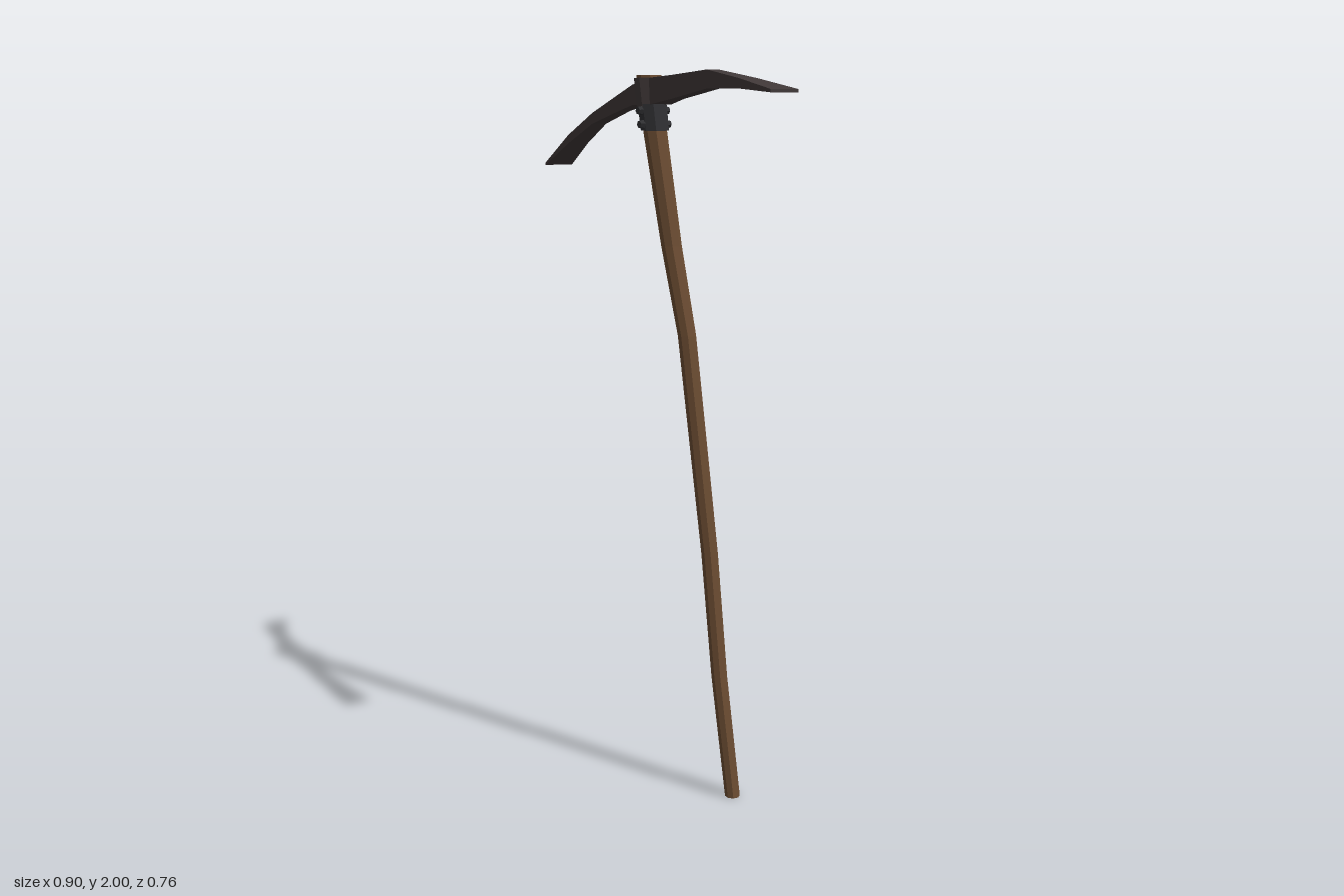
import * as THREE from 'three';

const wood = new THREE.MeshStandardMaterial({ name: 'wood', color: 0x6b4c32, flatShading: true });
const iron = new THREE.MeshStandardMaterial({ name: 'iron', color: 0x403838, flatShading: true });
const darkIron = new THREE.MeshStandardMaterial({ name: 'darkIron', color: 0x303033, flatShading: true });

// Skin a list of equal-length rings and close both ends
function loft(name, rings, material) {
  const pos = [];
  const tri = (...pts) => pts.forEach((p) => pos.push(p.x, p.y, p.z));
  const n = rings[0].length;
  for (let i = 0; i < rings.length - 1; i++) {
    for (let j = 0; j < n; j++) {
      const k = (j + 1) % n;
      const a = rings[i][j], b = rings[i][k], c = rings[i + 1][k], d = rings[i + 1][j];
      tri(a, b, c);
      tri(a, c, d);
    }
  }
  const first = rings[0], last = rings[rings.length - 1];
  for (let j = 1; j < n - 1; j++) {
    tri(first[0], first[j + 1], first[j]);
    tri(last[0], last[j], last[j + 1]);
  }
  const geometry = new THREE.BufferGeometry();
  geometry.setAttribute('position', new THREE.Float32BufferAttribute(pos, 3));
  geometry.computeVertexNormals();
  const mesh = new THREE.Mesh(geometry, material);
  mesh.name = name;
  return mesh;
}

// Horizontal octagon ring
function octagon([x, y, z, r]) {
  return Array.from({ length: 8 }, (_, j) => {
    const a = ((j + 0.5) / 8) * Math.PI * 2;
    return new THREE.Vector3(x + r * Math.cos(a), y, z - r * Math.sin(a));
  });
}

export function createModel() {
  const group = new THREE.Group();
  group.name = 'pickaxe';

  // Crooked handle: x, y, z, radius
  const handle = [
    [0.245, 0.004, 0.09, 0.021],
    [0.2, 0.35, 0.076, 0.022],
    [0.165, 0.7, 0.06, 0.023],
    [0.09, 1.3, 0.034, 0.025],
    [0.04, 1.54, 0.015, 0.028],
    [-0.01, 1.84, 0.001, 0.032],
    [-0.032, 1.99, -0.012, 0.034],
  ];
  group.add(loft('handle', handle.map(octagon), wood));

  // Curved double-ended head: distance along, top, bottom, half width
  const along = new THREE.Vector3(0.771, 0, 0.637);
  const across = new THREE.Vector3(0.637, 0, -0.771);
  const head = [
    [-0.545, 1.745, 1.738, 0.045],
    [-0.43, 1.827, 1.803, 0.033],
    [-0.31, 1.89, 1.86, 0.023],
    [-0.17, 1.943, 1.897, 0.018],
    [-0.09, 1.966, 1.912, 0.027],
    [0.01, 1.983, 1.914, 0.034],
    [0.09, 1.989, 1.928, 0.02],
    [0.25, 2.0, 1.953, 0.02],
    [0.4, 1.977, 1.952, 0.029],
    [0.545, 1.95, 1.942, 0.042],
  ];
  const headRings = head.map(([s, top, bottom, w]) =>
    [[-w, bottom], [w, bottom], [w, top], [-w, top]].map(([u, y]) =>
      along.clone().multiplyScalar(s).addScaledVector(across, u).setY(y)));
  group.add(loft('head', headRings, iron));

  // Eye of the head, around the top of the handle
  group.add(loft('headEye', [
    [-0.022, 1.908, -0.006, 0.04],
    [-0.031, 1.983, -0.011, 0.041],
  ].map(octagon), iron));

  // Collar under the head
  group.add(loft('collar', [
    [-0.011, 1.845, 0.001, 0.038],
    [-0.021, 1.915, -0.005, 0.039],
  ].map(octagon), darkIron));

  // Two rivets on each side of the collar
  for (const side of [-1, 1]) {
    for (const [x, y, z] of [[-0.013, 1.862, 0], [-0.018, 1.898, -0.003]]) {
      const rivet = new THREE.Mesh(new THREE.CylinderGeometry(0.01, 0.013, 0.016, 6), darkIron);
      const out = across.clone().multiplyScalar(side);
      rivet.quaternion.setFromUnitVectors(new THREE.Vector3(0, 1, 0), out);
      rivet.position.set(x, y, z).addScaledVector(out, 0.041);
      rivet.name = 'collarRivet';
      group.add(rivet);
    }
  }
  return group;
}
